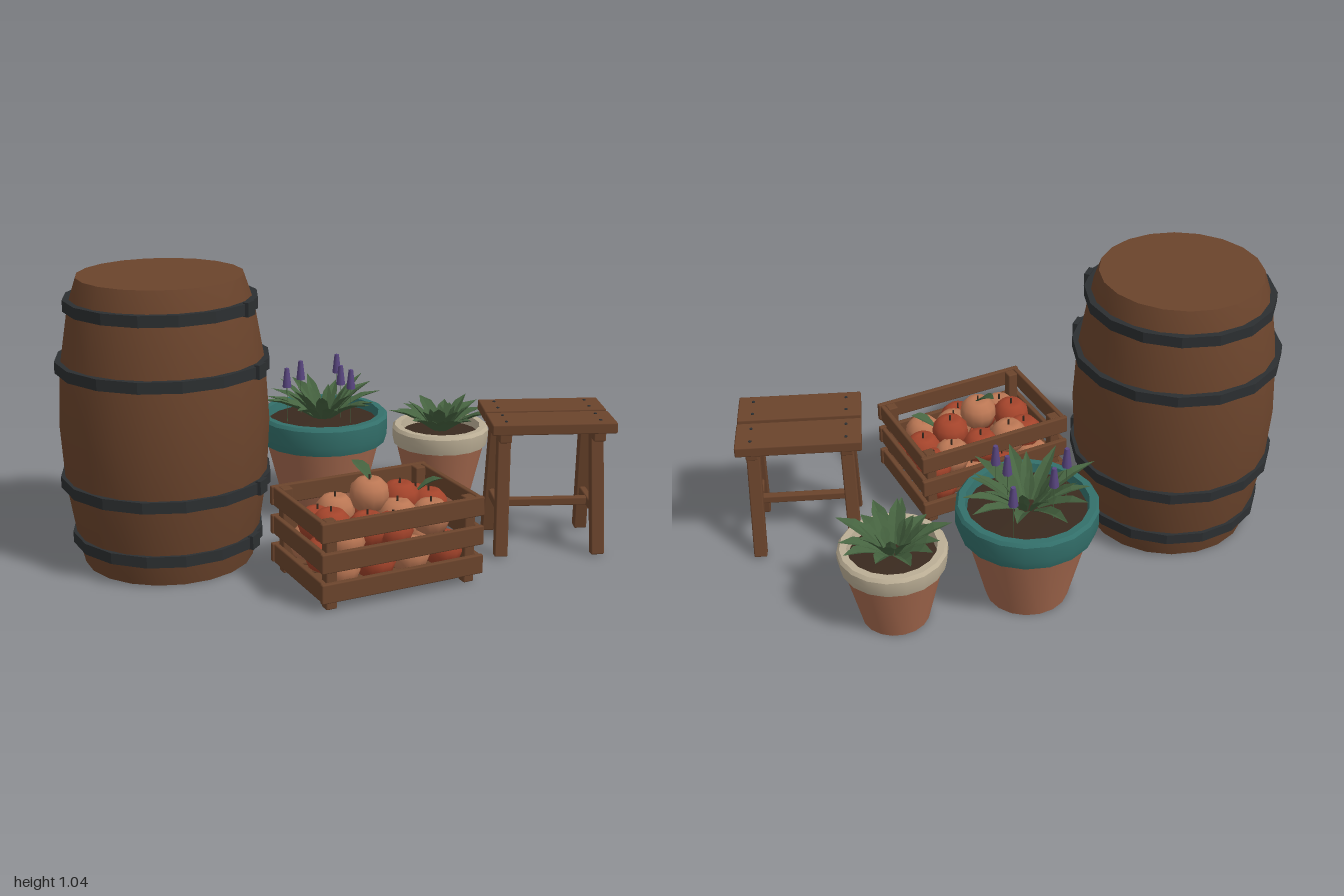
import * as THREE from 'three';
import { toCreasedNormals } from 'three/addons/utils/BufferGeometryUtils.js';
import { RoundedBoxGeometry } from 'three/addons/geometries/RoundedBoxGeometry.js';

function material(name, color, extra = {}) {
  const m = new THREE.MeshStandardMaterial({ color, ...extra });
  m.name = name;
  return m;
}

export function createModel() {
  const wood = material('brown wood', 0x6b442c);
  const iron = material('dark iron', 0x2c2f31);
  const clay = material('terracotta', 0xa5694e);
  const teal = material('teal glaze', 0x33706b);
  const cream = material('cream glaze', 0xbbae95);
  const soil = material('dark soil', 0x3a2a1f);
  const green = material('leaf green', 0x466340, { side: THREE.DoubleSide });
  const red = material('red apple', 0xa4442b);
  const peach = material('peach apple', 0xbb7754);
  const purple = material('lavender purple', 0x594680);

  const model = new THREE.Group();
  model.name = 'gardenSet';

  function group(name, x, z, turn = 0, parent = model) {
    const g = new THREE.Group();
    g.name = name;
    g.position.set(x, 0, z);
    g.rotation.y = turn;
    parent.add(g);
    return g;
  }
  function add(parent, name, geometry, mat, x = 0, y = 0, z = 0) {
    const m = new THREE.Mesh(geometry, mat);
    m.name = name;
    m.position.set(x, y, z);
    parent.add(m);
    return m;
  }
  const plank = (parent, name, w, h, d, x, y, z) =>
    add(parent, name, new RoundedBoxGeometry(w, h, d, 1, 0.005), wood, x, y, z);
  const lathe = (points, sides, crease = 0.6) => toCreasedNormals(
    new THREE.LatheGeometry(points.map(p => new THREE.Vector2(...p)), sides), crease);

  // square timber between two points
  function beam(parent, name, a, b, w, d) {
    const from = new THREE.Vector3(...a), to = new THREE.Vector3(...b);
    const dir = to.clone().sub(from);
    const m = plank(parent, name, w, dir.length(), d, 0, 0, 0);
    m.position.copy(from).add(to).multiplyScalar(0.5);
    m.quaternion.setFromUnitVectors(new THREE.Vector3(0, 1, 0), dir.normalize());
  }

  // Barrel with four iron hoops and their clasps
  const barrel = group('barrel', -0.615, -0.053);
  add(barrel, 'barrelBody', lathe([[0, 0], [0.305, 0], [0.328, 0.1], [0.361, 0.31],
    [0.373, 0.52], [0.361, 0.73], [0.325, 0.945], [0.293, 1.04], [0, 1.04]], 20), wood);
  for (const [y, r] of [[0.1, 0.345], [0.31, 0.378], [0.73, 0.38], [0.945, 0.342]]) {
    const h = 0.02;
    add(barrel, 'hoop', lathe([[r - 0.03, -h], [r, -h], [r, h], [r - 0.03, h], [r - 0.03, -h]], 16, 0.2),
      iron, 0, y, 0);
    const a = 0.68;
    const clasp = add(barrel, 'hoopClasp', new THREE.BoxGeometry(0.02, 0.05, 0.055), iron,
      Math.cos(a) * r, y, Math.sin(a) * r);
    clasp.rotation.y = -a;
  }

  // Slatted crate
  const crate = group('crate', 0.045, 0.362, 0.17);
  for (const y of [0.068, 0.175, 0.282]) {
    for (const s of [-1, 1]) {
      plank(crate, 'longSlat', 0.62, 0.07, 0.02, 0, y, s * 0.205);
      plank(crate, 'endSlat', 0.02, 0.07, 0.39, s * 0.295, y, 0);
    }
  }
  for (const sx of [-1, 1]) for (const sz of [-1, 1])
    plank(crate, 'cornerPost', 0.04, 0.315, 0.04, sx * 0.265, 0.158, sz * 0.175);
  for (let i = -2; i <= 2; i++)
    plank(crate, 'floorSlat', 0.57, 0.015, 0.055, 0, 0.035, i * 0.078);

  // Apples: a hidden lower layer and a heaped upper layer
  const apples = group('apples', 0.045, 0.362, 0.17);
  const appleShape = lathe([[0, -0.052], [0.025, -0.06], [0.055, -0.042], [0.071, 0],
    [0.066, 0.032], [0.042, 0.058], [0.018, 0.062], [0, 0.05]], 12, 1.2);
  const stemShape = new THREE.CylinderGeometry(0.004, 0.004, 0.03, 5);
  function apple(x, y, z, mat) {
    const g = group('apple', x, z, x * 9, apples);
    g.position.y = y;
    add(g, 'appleBody', appleShape, mat);
    add(g, 'appleStem', stemShape, soil, 0, 0.06, 0);
    return g;
  }
  for (let i = 0; i < 4; i++) for (let j = 0; j < 3; j++)
    apple(-0.2 + i * 0.133, 0.115, -0.125 + j * 0.125, (i + j) % 2 ? red : peach);
  const heap = [ // world x, world z, height, colour
    [-0.08, 0.28, 0.225, peach], [0.04, 0.26, 0.215, red], [0.165, 0.23, 0.215, peach],
    [0.245, 0.205, 0.2, red], [-0.155, 0.32, 0.2, red], [-0.135, 0.42, 0.225, red],
    [0.02, 0.36, 0.305, peach], [0.145, 0.32, 0.265, red], [0.26, 0.3, 0.22, red],
    [-0.11, 0.5, 0.2, peach], [-0.02, 0.47, 0.22, red], [0.07, 0.475, 0.21, red],
    [0.23, 0.41, 0.22, peach], [0.11, 0.4, 0.23, peach]];
  for (const [wx, wz, y, mat] of heap) {
    const p = new THREE.Vector3(wx - 0.045, 0, wz - 0.362)
      .applyAxisAngle(new THREE.Vector3(0, 1, 0), -0.17);
    apple(p.x, y, p.z, mat);
  }

  // Folded leaf blade rising from its base and drooping toward the tip
  function leaf(parent, { angle, start, reach, y, rise, width, droop }) {
    const pos = [], index = [];
    const rows = [[0, 0.35], [0.35, 0.95], [0.65, 0.8], [1, 0.02]];
    for (const [t, w] of rows) for (const s of [-1, 0, 1])
      pos.push(start + (reach - start) * t,
        y + rise * (t * (1 + droop) - droop * t * t) + Math.abs(s) * w * width * 0.25,
        s * w * width / 2);
    for (let r = 0; r < 3; r++) for (let c = 0; c < 2; c++) {
      const a = r * 3 + c;
      index.push(a, a + 1, a + 3, a + 1, a + 4, a + 3);
    }
    const g = new THREE.BufferGeometry();
    g.setAttribute('position', new THREE.Float32BufferAttribute(pos, 3));
    g.setIndex(index);
    const flat = g.toNonIndexed();
    flat.computeVertexNormals();
    add(parent, 'leaf', flat, green).rotation.y = angle;
  }
  // Leaves on two of the apples
  for (const [x, y, z, angle] of [[-0.02, 0.36, -0.01, 1.9], [0.16, 0.29, 0.0, -0.5]]) {
    const sprig = group('appleLeaf', x, z, 0, apples);
    leaf(sprig, { angle, start: 0, reach: 0.09, y, rise: 0.05, width: 0.06, droop: 0.5 });
  }

  // Terracotta pot with a glazed rim and soil
  function pot(name, x, z, glaze, base, neck, rim, rimLow, top) {
    const g = group(name, x, z);
    add(g, 'potBody', lathe([[0, 0], [base, 0], [neck, rimLow + 0.01]], 18), clay);
    add(g, 'potRim', lathe([[neck - 0.01, rimLow], [rim * 0.96, rimLow], [rim, rimLow + 0.035],
      [rim, top - 0.012], [rim - 0.01, top], [rim - 0.035, top], [rim - 0.045, top - 0.06]], 18), glaze);
    add(g, 'soil', lathe([[rim - 0.04, top - 0.035], [0, top - 0.02]], 18), soil);
    return g;
  }
  // Rings of leaves: [count, reach, rise, width, droop]
  function foliage(parent, y, rings) {
    rings.forEach(([count, reach, rise, width, droop], k) => {
      for (let i = 0; i < count; i++) {
        const vary = 1 + 0.14 * Math.sin(i * 2.4 + k * 1.7);
        leaf(parent, { angle: (i + k * 0.5) / count * Math.PI * 2 + 0.12 * Math.sin(i * 5),
          start: 0.03, reach: reach * vary, y, rise: rise * vary, width, droop });
      }
    });
  }

  const lavender = pot('lavenderPot', 0.055, -0.355, teal, 0.15, 0.225, 0.254, 0.29, 0.4);
  foliage(lavender, 0.37, [[11, 0.235, 0.095, 0.055, 0.7], [9, 0.165, 0.135, 0.048, 0.3],
    [6, 0.09, 0.12, 0.04, 0.2]]);
  // Lavender spikes on fine stems
  for (const [x, z] of [[-0.145, 0.005], [-0.065, -0.09], [0.1, -0.15], [0.065, 0.025], [0.085, 0.095]]) {
    add(lavender, 'flowerSpike', new THREE.CylinderGeometry(0.009, 0.018, 0.075, 6), purple, x, 0.547, z);
    add(lavender, 'flowerStem', new THREE.CylinderGeometry(0.0015, 0.0015, 0.15, 4), green, x, 0.44, z);
  }

  const herb = pot('herbPot', 0.54, -0.342, cream, 0.12, 0.178, 0.193, 0.235, 0.31);
  foliage(herb, 0.285, [[12, 0.185, 0.08, 0.062, 0.6], [8, 0.12, 0.11, 0.055, 0.3],
    [5, 0.06, 0.09, 0.04, 0.2]]);

  // Stool: two seat planks, cleats, splayed legs and stretchers
  const stool = group('stool', 0.739, 0.223, -0.217);
  for (const s of [-1, 1]) {
    plank(stool, 'seatPlank', 0.45, 0.04, 0.158, 0, 0.489, s * 0.088);
    plank(stool, 'seatCleat', 0.045, 0.04, 0.27, s * 0.17, 0.45, 0);
    beam(stool, 'endStretcher', [s * 0.173, 0.16, -0.125], [s * 0.173, 0.16, 0.125], 0.025, 0.035);
    for (const t of [-1, 1]) {
      beam(stool, 'leg', [s * 0.178, 0.003, t * 0.14], [s * 0.168, 0.47, t * 0.075], 0.048, 0.042);
      for (const u of [-0.04, 0.04])
        add(stool, 'seatPeg', new THREE.CylinderGeometry(0.006, 0.006, 0.004, 6), iron,
          s * 0.17, 0.51, t * 0.088 + u);
    }
  }
  plank(stool, 'longStretcher', 0.34, 0.03, 0.03, 0, 0.16, 0);

  return model;
}
